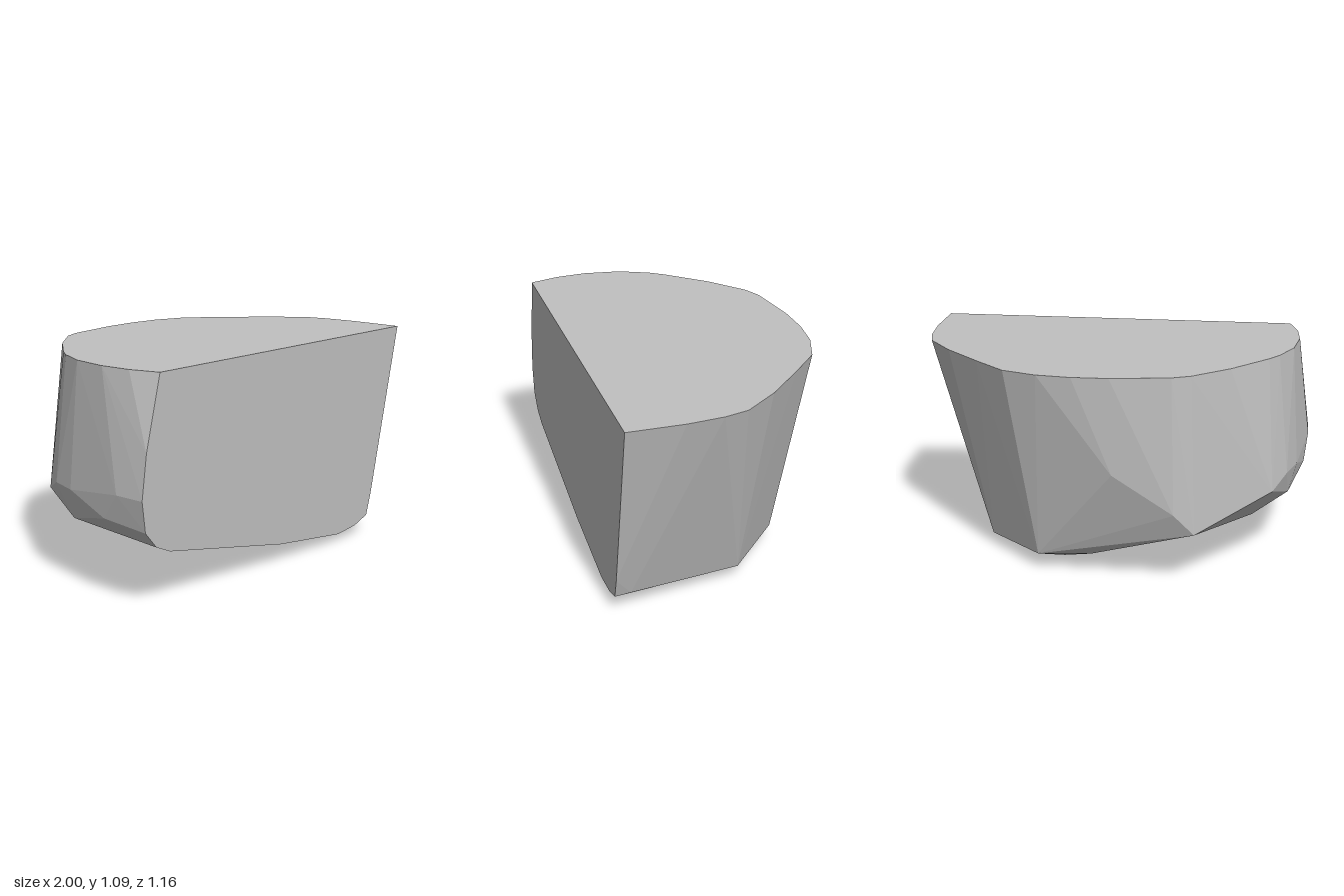
import * as THREE from 'three';
import { ConvexGeometry } from 'three/addons/geometries/ConvexGeometry.js';

export function createModel() {
  const group = new THREE.Group();
  group.name = 'rockChunk';
  const stone = new THREE.MeshStandardMaterial({ color: 0xc0c0c0 });
  stone.name = 'paleGreyStone';
  stone.flatShading = true;

  // flat top outline (x, z)
  const top = [
    [-0.88, 0.58], [-0.92, 0.43], [-0.93, 0.27], [-0.9, 0.08], [-0.83, -0.07], [-0.78, -0.14],
    [-0.6, -0.34], [-0.42, -0.49], [-0.33, -0.53], [-0.04, -0.575], [0.14, -0.58], [0.31, -0.56],
    [0.48, -0.5], [0.64, -0.35], [0.82, -0.17], [0.95, 0], [0.98, 0.12], [0.995, 0.3], [0.99, 0.58],
  ];
  // flat cut front outline (x, y)
  const front = [
    [-0.97, 0.74], [-1, 0.53], [-0.98, 0.38], [-0.91, 0.3], [-0.82, 0.26],
    [0, 0.1], [0.49, 0.04], [0.64, 0.055], [0.745, 0.09], [0.78, 0.2],
  ];
  // bulging flank and lower rim
  const flank = [
    [-1, 0.53, 0.42], [-0.98, 0.4, 0.32], [-0.94, 0.48, 0.06], [-0.89, 0.48, -0.09],
    [-0.82, 0.42, -0.21], [-0.9, 0.33, 0.04], [-0.72, 0.25, -0.1], [-0.45, 0.29, -0.51],
    [-0.35, 0.4, -0.54], [-0.05, 0.6, -0.558],
  ];
  // underside
  const under = [
    [0.31, 0, 0.08], [0.33, 0, -0.08], [0.49, 0.002, -0.06], [0.45, 0.008, 0.25],
    [0.23, 0.035, -0.25], [0.08, 0.09, -0.34], [0.35, 0.085, -0.36], [0.53, 0.085, -0.18],
    [0.64, 0.068, -0.08], [0.745, 0.098, 0.5],
  ];

  const points = [
    ...top.map(([x, z]) => new THREE.Vector3(x, 1.09, z)),
    ...front.map(([x, y]) => new THREE.Vector3(x, y, 0.58)),
    ...[...flank, ...under].map((p) => new THREE.Vector3(...p)),
  ];
  const rock = new THREE.Mesh(new ConvexGeometry(points), stone);
  rock.name = 'rock';
  group.add(rock);
  return group;
}
